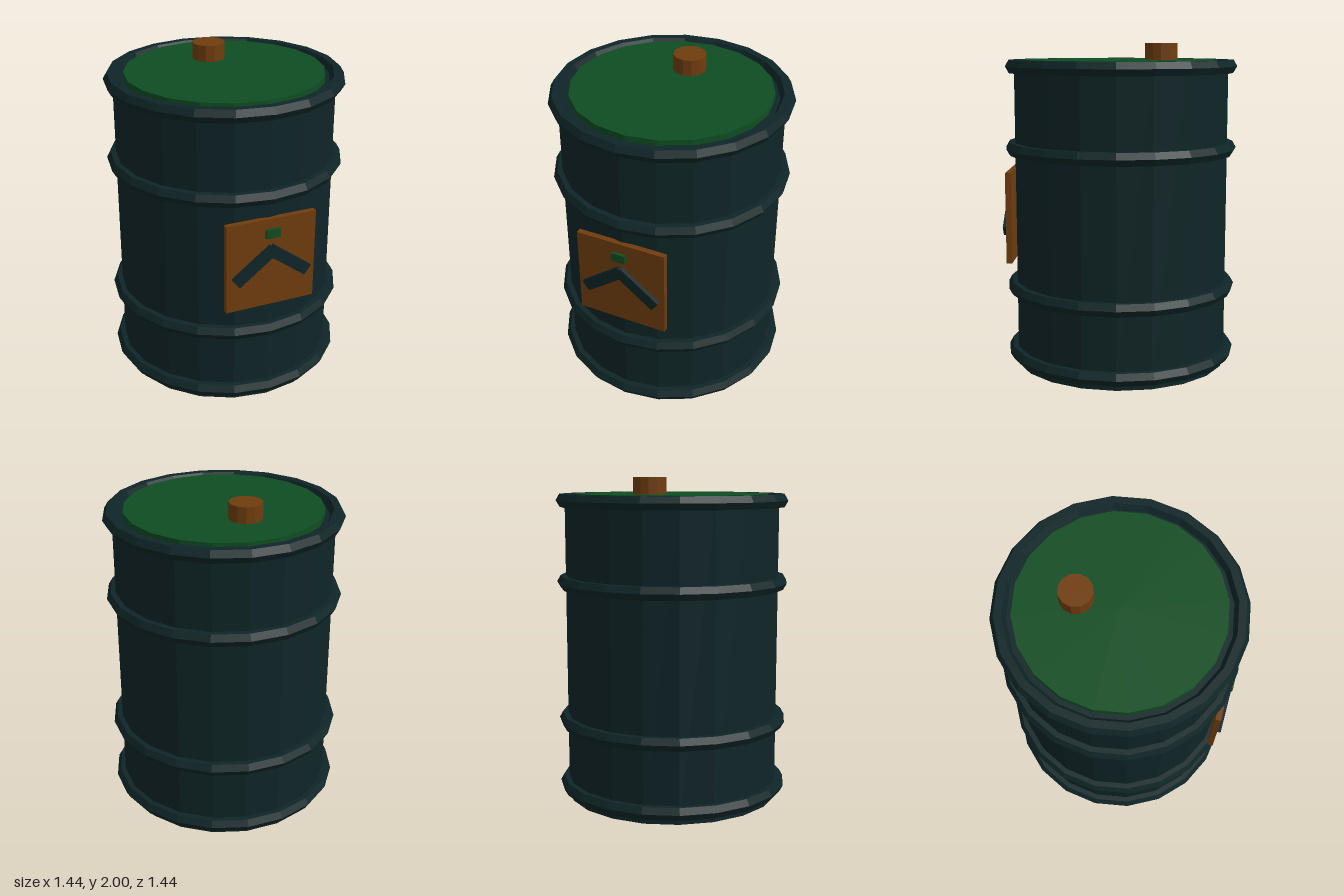
import * as THREE from 'three';

const paint = (name, color) => {
  const m = new THREE.MeshStandardMaterial({ color });
  m.name = name;
  return m;
};

// Faceted normals without touching the material
function faceted(geometry) {
  const g = geometry.toNonIndexed();
  g.computeVertexNormals();
  return g;
}

export function createModel() {
  const group = new THREE.Group();
  group.name = 'barrel';

  const darkTeal = paint('dark teal', 0x0f2527);
  const green = paint('green', 0x0f4d22);
  const rust = paint('rust orange', 0x703d0f);

  const add = (name, geometry, material, x, y, z) => {
    const mesh = new THREE.Mesh(faceted(geometry), material);
    mesh.name = name;
    mesh.position.set(x, y, z);
    group.add(mesh);
    return mesh;
  };

  // Drum body
  add('body', new THREE.CylinderGeometry(0.665, 0.665, 1.86, 20), darkTeal, 0, 0.93, 0);

  // Hexagonal-section hoops
  for (const y of [0.075, 0.49, 1.36, 1.86]) {
    add('hoop', new THREE.TorusGeometry(0.675, 0.045, 6, 20).rotateX(Math.PI / 2), darkTeal, 0, y, 0);
  }

  // Lid and filler cap
  add('lid', new THREE.CylinderGeometry(0.6, 0.6, 0.05, 20), green, 0, 1.875, 0);
  add('cap', new THREE.CylinderGeometry(0.1, 0.1, 0.11, 12), rust, 0, 1.945, -0.25);

  // Front label plate
  add('labelPlate', new THREE.BoxGeometry(0.56, 0.56, 0.035), rust, 0, 0.945, 0.6725);

  // Chevron made of two mirrored bars
  for (const side of [-1, 1]) {
    const bar = add('chevronBar', new THREE.BoxGeometry(0.3, 0.07, 0.027), darkTeal, side * 0.108, 0.947, 0.7015);
    bar.rotation.z = -side * 0.645;
  }

  // Small marker above the chevron
  add('labelMarker', new THREE.BoxGeometry(0.09, 0.055, 0.018), green, 0, 1.143, 0.711);

  return group;
}
